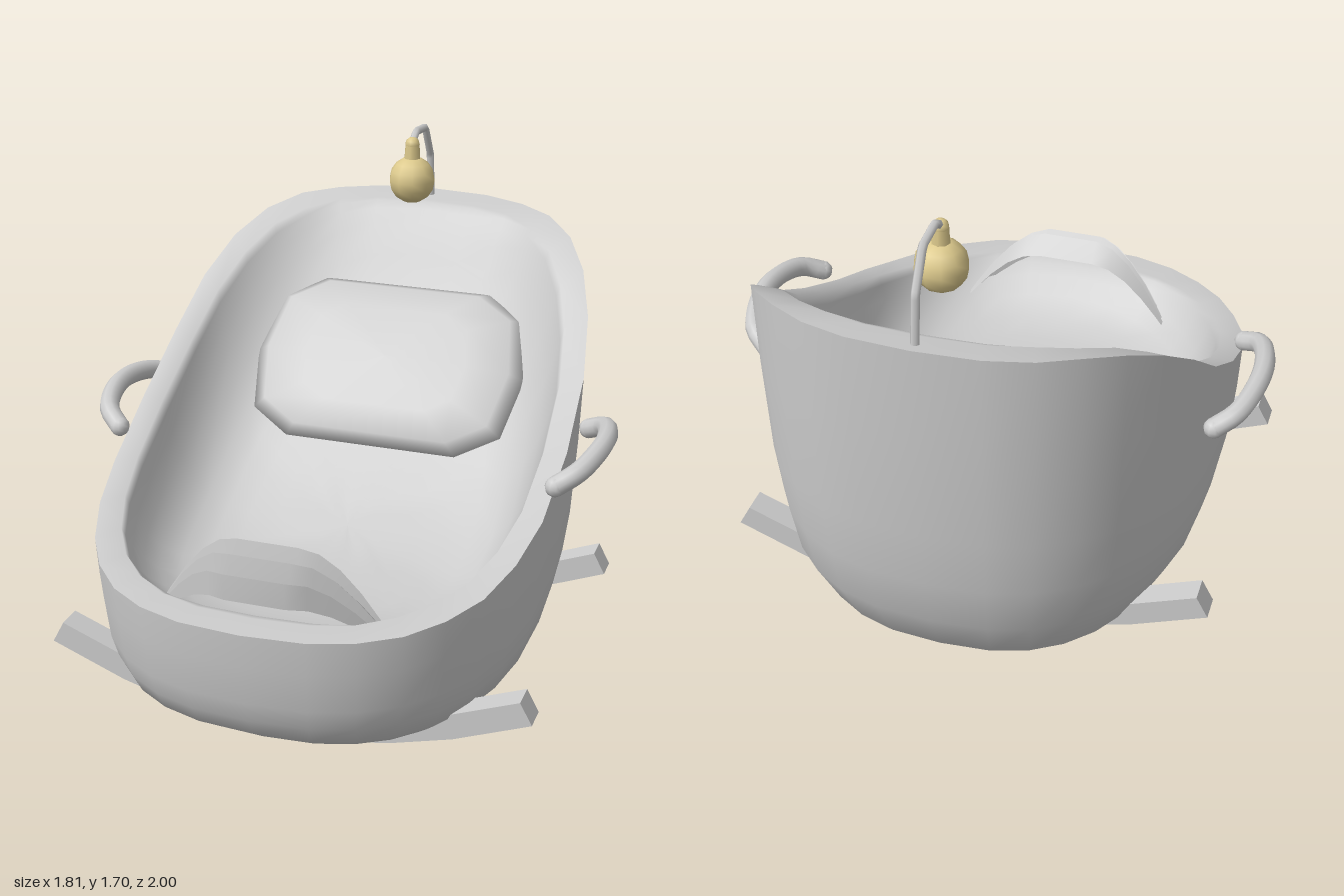
import * as THREE from 'three';

const grey = new THREE.MeshStandardMaterial({ color: 0xcccccc });
grey.name = 'soft grey';
grey.side = THREE.DoubleSide;
const gold = new THREE.MeshStandardMaterial({ color: 0xdcc98c });
gold.name = 'pale gold';

const V = (x, y, z) => new THREE.Vector3(x, y, z);

function add(parent, name, geometry, material = grey) {
  const mesh = new THREE.Mesh(geometry, material);
  mesh.name = name;
  parent.add(mesh);
  return mesh;
}

// Skin over a list of rings (arrays of points) with equal point counts
function loft(rings, closed) {
  const n = rings[0].length;
  const index = [];
  for (let i = 0; i < rings.length - 1; i++) {
    for (let j = 0; j < (closed ? n : n - 1); j++) {
      const k = (j + 1) % n;
      const a = i * n + j, b = i * n + k, c = (i + 1) * n + k, d = (i + 1) * n + j;
      index.push(a, b, c, a, c, d);
    }
  }
  const g = new THREE.BufferGeometry().setFromPoints(rings.flat());
  g.setIndex(index);
  g.computeVertexNormals();
  return g;
}

// Heights along z: the sweeping rim, and the reclining bed inside
const RIM = [[-1, 1.41], [-0.85, 1.385], [-0.7, 1.325], [-0.5, 1.19], [-0.25, 0.995],
  [0, 0.85], [0.3, 0.705], [0.6, 0.61], [0.85, 0.57], [1, 0.56]];
const BED = [[-0.9, 1.38], [-0.7, 1.08], [-0.5, 0.85], [-0.3, 0.67], [-0.1, 0.52],
  [0.1, 0.42], [0.4, 0.38], [0.7, 0.4], [0.9, 0.56]];
function heightAt(table, z) {
  for (let i = 1; i < table.length; i++) {
    const [z0, y0] = table[i - 1], [z1, y1] = table[i];
    if (z <= z1) return y0 + (y1 - y0) * (z - z0) / (z1 - z0);
  }
  return table[table.length - 1][1];
}

const bulge = (v, p) => Math.sign(v) * Math.pow(Math.abs(v), p);

// Superellipse ring of the basket; heightOf receives the unit outline z
function basketRing(s, heightOf) {
  const ring = [];
  const n = 32;
  for (let i = 0; i < n; i++) {
    const a = (i / n) * Math.PI * 2;
    const x = 0.76 * bulge(Math.sin(a), 0.8), z = bulge(Math.cos(a), 0.8);
    ring.push(V(x * s, heightOf(z), z * s));
  }
  return ring;
}

function buildBasket(root) {
  const basket = new THREE.Group();
  basket.name = 'basket';
  root.add(basket);
  // Outer wall: pairs of rim height fraction and outline scale
  const outer = [[0, 0], [0, 0.76], [0.025, 0.82], [0.16, 0.91], [0.3, 0.945], [0.46, 0.97], [0.75, 0.99], [1, 1]];
  add(basket, 'outerWall', loft(outer.map(([t, s]) =>
    basketRing(s, z => 0.09 + (heightAt(RIM, z) - 0.09) * t)), true));
  // Rim running smoothly into the hollow bed, steep near the rim
  const bed = [0.9, 0.885, 0.86, 0.82, 0.76, 0.68, 0.58, 0.47, 0.35, 0.23, 0.11, 0].map(s =>
    basketRing(s, z => {
      const w = Math.pow(s / 0.9, 8);
      return heightAt(BED, z * s) * (1 - w) + heightAt(RIM, z * 0.9) * w;
    }));
  add(basket, 'rimAndBed', loft([basketRing(1, z => heightAt(RIM, z)), ...bed], true));
}

// Tilted ten-sided cushion with a flat face and rounded edge
function buildPillow(root) {
  const profile = [[0, -0.08], [0.6, -0.074], [0.9, -0.045], [1, 0], [0.9, 0.045], [0.6, 0.074], [0, 0.08]];
  const rings = profile.map(([r, h]) => {
    const ring = [];
    for (let i = 0; i < 10; i++) {
      const a = ((i + 0.5) / 10) * Math.PI * 2;
      ring.push(V(0.5 * r * bulge(Math.sin(a), 0.4), h, 0.33 * r * bulge(Math.cos(a), 0.7)));
    }
    return ring;
  });
  const pillow = add(root, 'pillow', loft(rings, true));
  pillow.position.set(0, 0.9, -0.455);
  pillow.rotation.x = Math.PI / 4;
}

// Folded hood: pleated arches fanning forward from shared side pivots
function buildHood(root) {
  const arch = ([z, top]) => {
    const half = [];
    for (let i = 0; i <= 5; i++) {
      const u = i / 5;
      half.push(V(0.42 - 0.32 * u, 0.41 + (top - 0.41) * Math.sin(u * Math.PI / 2),
        0.685 + (z - 0.685) * Math.pow(u, 0.8)));
    }
    return [...half.map(p => V(-p.x, p.y, p.z)), ...half.reverse()];
  };
  const pleats = [[0.875, 0.6], [0.88, 0.69], [0.825, 0.65], [0.82, 0.73], [0.76, 0.69], [0.75, 0.75], [0.685, 0.69]];
  for (let i = 1; i < pleats.length; i++) {
    add(root, 'hoodPleat', loft([arch(pleats[i - 1]), arch(pleats[i])], false));
  }
}

// Side carrying handles with rounded ends
function buildHandle(root, side) {
  const handle = new THREE.Group();
  handle.name = side > 0 ? 'leftHandle' : 'rightHandle';
  root.add(handle);
  const path = [[0.765, 0.81, 0.185], [0.825, 0.845, 0.135], [0.865, 0.873, 0], [0.865, 0.873, -0.14],
    [0.825, 0.845, -0.275], [0.765, 0.81, -0.322]].map(([x, y, z]) => V(x * side, y, z));
  add(handle, 'grip', new THREE.TubeGeometry(new THREE.CatmullRomCurve3(path), 20, 0.034, 10));
  for (const end of [path[0], path[5]]) {
    add(handle, 'gripEnd', new THREE.SphereGeometry(0.034, 10, 8)).position.copy(end);
  }
}

// Curved rocker of square section
function buildRocker(root, name, z) {
  const lower = [[0, 0], [0.2, 0.013], [0.37, 0.045], [0.57, 0.1], [0.825, 0.2]];
  const upper = [[0.785, 0.275], [0.54, 0.18], [0.35, 0.128], [0.19, 0.097], [0, 0.085]];
  const half = [...lower, ...upper];
  const mirrored = half.slice(1, -1).reverse().map(([x, y]) => [-x, y]);
  const shape = new THREE.Shape([...half, ...mirrored].map(([x, y]) => new THREE.Vector2(x, y)));
  const g = new THREE.ExtrudeGeometry(shape, { depth: 0.09, bevelEnabled: false });
  add(root, name, g).position.z = z - 0.045;
}

// Bent arm with a hanging rattle
function buildRattle(root) {
  const arm = new THREE.CurvePath();
  const pts = [V(0, 1.39, -0.955), V(0, 1.56, -0.935), V(0, 1.675, -0.865), V(0, 1.685, -0.755), V(0, 1.655, -0.71)];
  for (let i = 1; i < pts.length; i++) arm.add(new THREE.LineCurve3(pts[i - 1], pts[i]));
  add(root, 'rattleArm', new THREE.TubeGeometry(arm, 24, 0.014, 6));
  const rattle = new THREE.Group();
  rattle.name = 'rattle';
  rattle.position.set(0, 1.52, -0.71);
  root.add(rattle);
  add(rattle, 'rattleBall', new THREE.SphereGeometry(0.084, 10, 8), gold);
  add(rattle, 'rattleNeck', new THREE.CylinderGeometry(0.026, 0.03, 0.06, 8), gold).position.y = 0.1;
  add(rattle, 'rattleCap', new THREE.SphereGeometry(0.027, 8, 6), gold).position.y = 0.128;
}

export function createModel() {
  const root = new THREE.Group();
  root.name = 'rockingCradle';
  buildBasket(root);
  buildPillow(root);
  buildHood(root);
  for (const side of [1, -1]) buildHandle(root, side);
  buildRocker(root, 'frontRocker', 0.595);
  buildRocker(root, 'backRocker', -0.488);
  buildRattle(root);
  return root;
}
